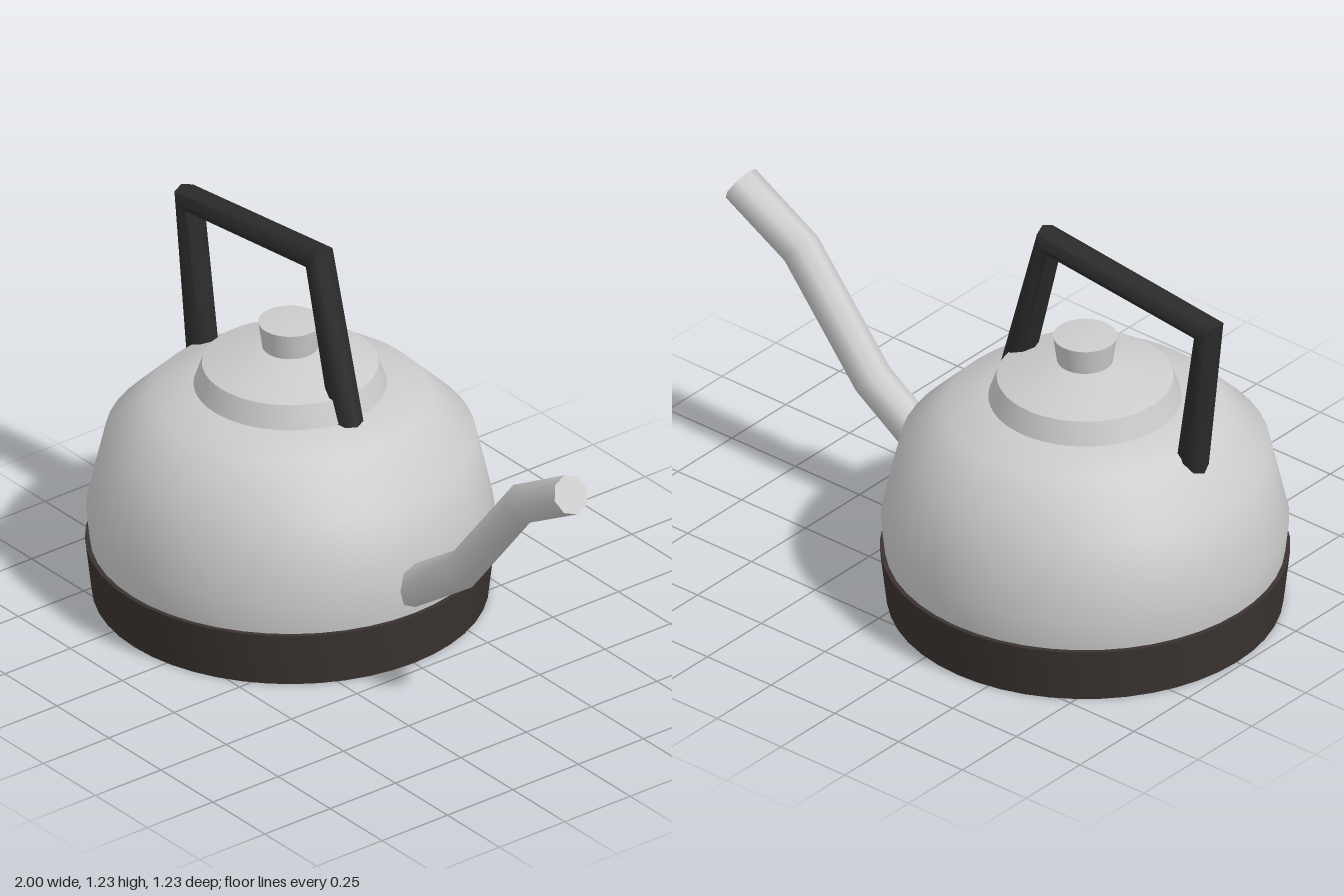
import * as THREE from 'three';
import { toCreasedNormals } from 'three/addons/utils/BufferGeometryUtils.js';

const AXIS_X = -0.385; // centre line of the round parts

const steel = new THREE.MeshStandardMaterial({ color: 0xcccccc });
const darkBase = new THREE.MeshStandardMaterial({ color: 0x3a3330 });
const darkGrip = new THREE.MeshStandardMaterial({ color: 0x2b2b2b });

// Round part turned from [radius, height] pairs, listed bottom to top
function turned(name, profile, material, crease) {
  const points = profile.map(([r, y]) => new THREE.Vector2(r, y));
  const geometry = toCreasedNormals(new THREE.LatheGeometry(points, 48), crease);
  const mesh = new THREE.Mesh(geometry, material);
  mesh.name = name;
  mesh.position.x = AXIS_X;
  return mesh;
}

// Capped octagonal rod along [x, y] points; each ring lies on the bisector of its bend
function rod(name, path, radius, material) {
  const sides = 8;
  const pts = path.map(([x, y]) => new THREE.Vector2(x, y));
  const dirs = pts.slice(1).map((p, i) => p.clone().sub(pts[i]).normalize());
  const positions = [];
  const index = [];
  pts.forEach((p, i) => {
    const before = dirs[Math.max(i - 1, 0)];
    const after = dirs[Math.min(i, dirs.length - 1)];
    const t = before.clone().add(after).normalize();
    for (let k = 0; k < sides; k++) {
      const a = (k / sides) * Math.PI * 2;
      const across = Math.cos(a) * radius;
      positions.push(p.x - t.y * across, p.y + t.x * across, Math.sin(a) * radius);
    }
  });
  for (let i = 0; i < pts.length - 1; i++) {
    for (let k = 0; k < sides; k++) {
      const a = i * sides + k;
      const b = i * sides + ((k + 1) % sides);
      index.push(a, b, a + sides, b, b + sides, a + sides);
    }
  }
  // End caps
  const last = (pts.length - 1) * sides;
  for (let k = 1; k < sides - 1; k++) {
    index.push(0, k + 1, k, last, last + k, last + k + 1);
  }
  const geometry = new THREE.BufferGeometry();
  geometry.setAttribute('position', new THREE.Float32BufferAttribute(positions, 3));
  geometry.setIndex(index);
  const mesh = new THREE.Mesh(toCreasedNormals(geometry, 1.0), material);
  mesh.name = name;
  return mesh;
}

export function createModel() {
  const kettle = new THREE.Group();
  kettle.name = 'kettle';

  kettle.add(
    // Dark foot, flaring slightly upwards
    turned('base', [[0, 0], [0.595, 0], [0.615, 0.175], [0, 0.175]], darkBase, 0.6),
    // Rounded vessel
    turned('body', [[0.6, 0.17], [0.612, 0.28], [0.556, 0.527], [0.418, 0.665], [0.27, 0.703], [0, 0.705]], steel, 0.8),
    // Stepped lid and its knob
    turned('lid', [[0, 0.7], [0.29, 0.7], [0.265, 0.772], [0.08, 0.83], [0, 0.83]], steel, 0.6),
    turned('lidKnob', [[0, 0.82], [0.083, 0.82], [0.096, 0.912], [0, 0.922]], steel, 0.6),
    // Bent spout on the left, angular handle over the lid
    rod('spout', [[0.18, 0.245], [0.447, 0.428], [0.728, 0.775], [0.965, 0.91]], 0.062, steel),
    rod('handle', [[-0.8, 0.58], [-0.87, 1.122], [-0.246, 1.192], [-0.108, 0.67]], 0.05, darkGrip)
  );
  return kettle;
}
